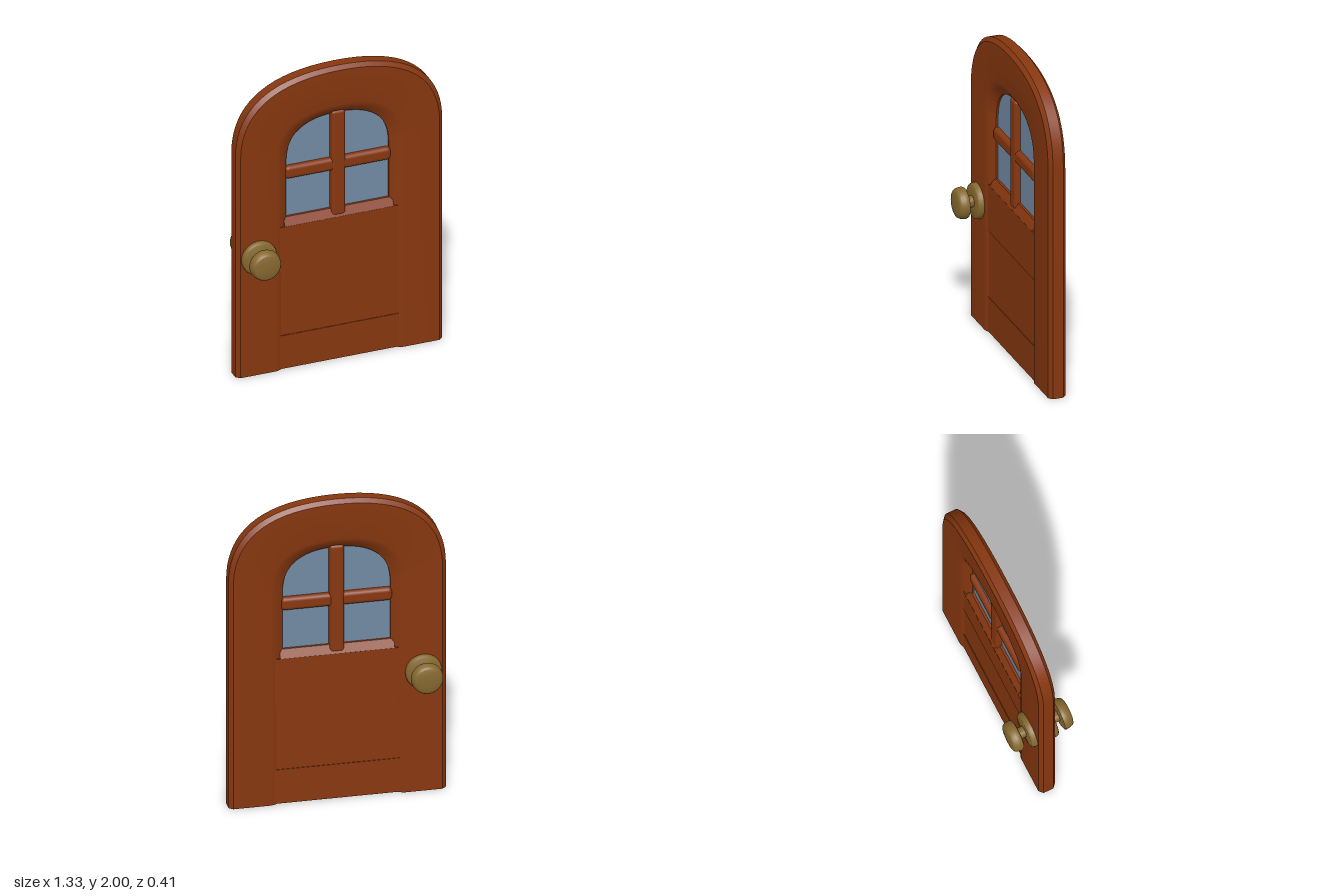
import * as THREE from 'three';
import { toCreasedNormals } from 'three/addons/utils/BufferGeometryUtils.js';
import { RoundedBoxGeometry } from 'three/addons/geometries/RoundedBoxGeometry.js';

const V2 = (x, y) => new THREE.Vector2(x, y);

// Arch outline from the right foot, over the top, to the left foot
function archPath(w, spring, top) {
  const h = top - spring;
  const curve = new THREE.CubicBezierCurve(
    V2(w, spring), V2(w, spring + 0.6 * h), V2(0.72 * w, top), V2(0, top));
  const half = [V2(w, 0), ...curve.getPoints(18)];
  const mirrored = half.slice(0, -1).reverse().map(p => V2(-p.x, p.y));
  return [...half, ...mirrored];
}

// Arched frame: stiles and head in one, lofted from a moulded cross-section
function frameGeometry() {
  const outer = archPath(0.665, 1.5, 2);
  const chamfer = archPath(0.64, 1.49, 1.975);
  const lip = archPath(0.41, 1.44, 1.74);
  const inner = archPath(0.33, 1.4, 1.67);
  const steps = 6;
  const sections = outer.map((o, i) => {
    const front = [[o, 0.033], [chamfer[i], 0.055]];
    for (let k = 0; k <= steps; k++) {
      const t = k / steps;
      front.push([lip[i].clone().lerp(inner[i], t), 0.055 - 0.043 * t ** 1.5]);
    }
    const back = front.map(([p, z]) => [p, -z]).reverse();
    return [...front, ...back];
  });
  const n = sections[0].length, last = sections.length - 1;
  const pos = [], idx = [];
  sections.forEach(s => s.forEach(([p, z]) => pos.push(p.x, p.y, z)));
  for (let i = 0; i < last; i++) {
    for (let j = 0; j < n; j++) {
      const k = (j + 1) % n;
      const a = i * n + j, b = a + n, c = (i + 1) * n + k, d = i * n + k;
      idx.push(a, b, c, a, c, d);
    }
  }
  // Feet of the two stiles
  for (let j = 1; j < n - 1; j++) {
    idx.push(0, j, j + 1);
    idx.push(last * n, last * n + j + 1, last * n + j);
  }
  const g = new THREE.BufferGeometry();
  g.setAttribute('position', new THREE.Float32BufferAttribute(pos, 3));
  g.setIndex(idx);
  return toCreasedNormals(g, 0.5);
}

export function createModel() {
  const door = new THREE.Group();
  door.name = 'archedDoor';
  const material = (name, color) => {
    const m = new THREE.MeshStandardMaterial({ color });
    m.name = name;
    return m;
  };
  const wood = material('wood', 0x87370f);
  const brass = material('brass', 0x86682f);
  const glass = material('glass', 0x718aa2);
  glass.side = THREE.DoubleSide;

  const add = (name, geometry, mat, parent = door) => {
    const mesh = new THREE.Mesh(geometry, mat);
    mesh.name = name;
    parent.add(mesh);
    return mesh;
  };

  add('frame', frameGeometry(), wood);

  // Rails and lower panel between the stiles
  const board = (name, y0, y1, depth) => {
    const g = new THREE.BoxGeometry(0.78, y1 - y0, depth);
    add(name, g.translate(0, (y0 + y1) / 2, 0), wood);
  };
  board('bottomRail', 0.004, 0.23, 0.092);
  board('lowerPanel', 0.23, 0.665, 0.084);
  board('middleRail', 0.665, 0.97, 0.092);

  // Sloped sill on both sides of the glass
  const sillProfile = new THREE.Shape([
    V2(-0.045, 0.965), V2(0.045, 0.965), V2(0.045, 0.97),
    V2(0.015, 1.02), V2(-0.015, 1.02), V2(-0.045, 0.97)]);
  const sill = new THREE.ExtrudeGeometry(sillProfile, { depth: 0.7, bevelEnabled: false });
  add('sill', sill.translate(0, 0, -0.35).rotateY(Math.PI / 2), wood);

  // Glass pane and glazing bars
  const pane = new THREE.Shape(archPath(0.34, 1.4, 1.68).map(p => V2(p.x, Math.max(p.y, 0.99))));
  add('windowPane', new THREE.ShapeGeometry(pane), glass);
  add('verticalBar', new RoundedBoxGeometry(0.09, 0.72, 0.076, 3, 0.02), wood)
    .position.set(0, 1.33, 0);
  add('horizontalBar', new RoundedBoxGeometry(0.68, 0.085, 0.066, 3, 0.025), wood)
    .position.set(0, 1.322, 0);

  // Turned knob with rosette and neck, one on each side
  const profile = [
    [0.112, 0.04], [0.112, 0.07], [0.108, 0.085], [0.1, 0.091], [0.035, 0.091],
    [0.035, 0.132], [0.08, 0.132], [0.093, 0.137], [0.098, 0.148], [0.097, 0.165],
    [0.091, 0.185], [0.083, 0.196], [0.074, 0.2], [0.04, 0.204], [0, 0.206],
  ].map(([r, z]) => V2(r, z));
  for (const side of [1, -1]) {
    const g = toCreasedNormals(new THREE.LatheGeometry(profile, 32), 0.7);
    const knob = add(side > 0 ? 'frontKnob' : 'backKnob', g, brass);
    knob.rotation.x = side * Math.PI / 2;
    knob.position.set(-0.523, 0.803, 0);
  }
  return door;
}
